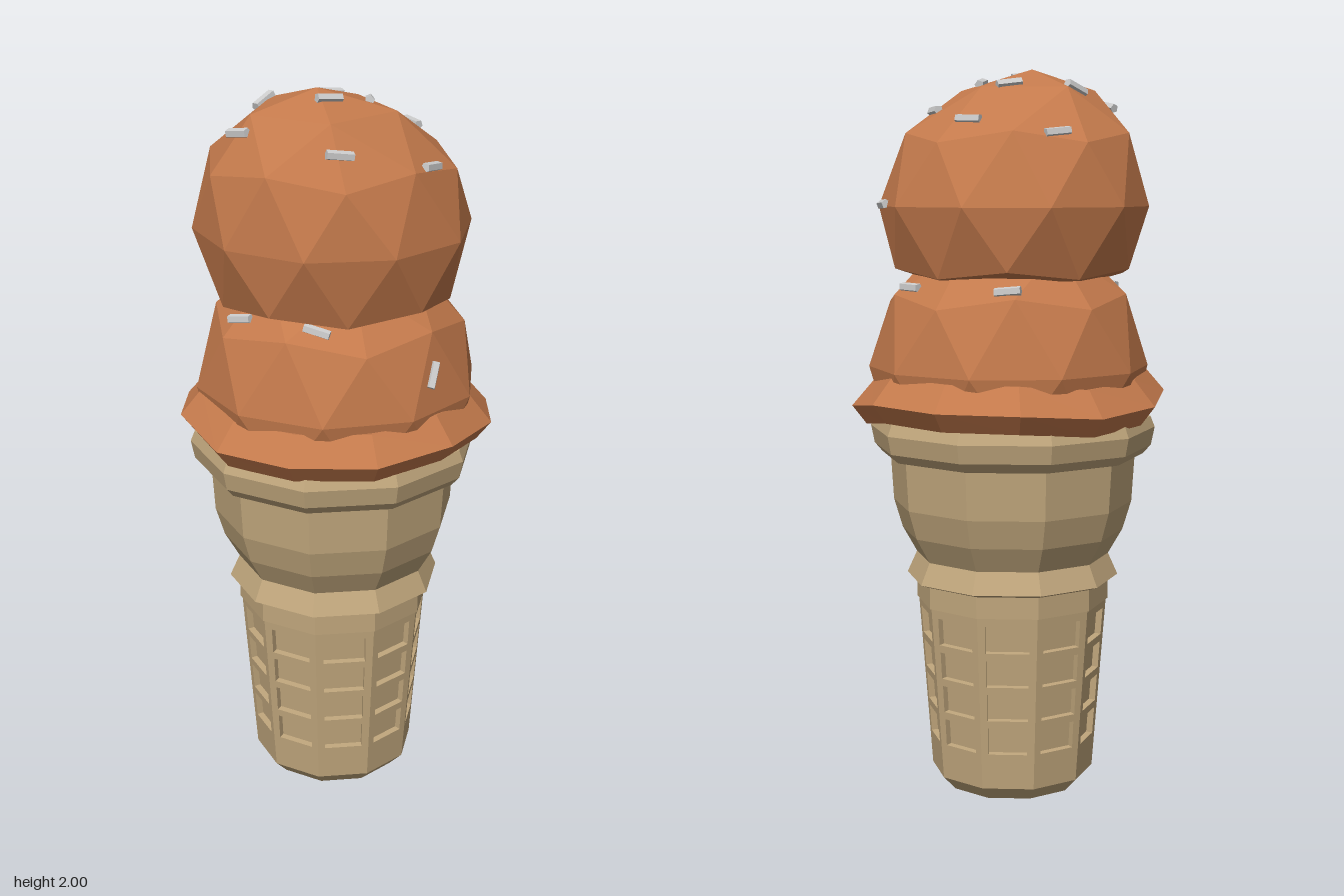
import * as THREE from 'three';

const SIDES = 10, STEP = Math.PI * 2 / SIDES, HALF = STEP / 2;
const mat = color => new THREE.MeshStandardMaterial({ color, flatShading: true });
const iceCream = mat(0xc47a4c), wafer = mat(0xc0a67c), candy = mat(0xcccccc);

function add(parent, name, geometry, material) {
  const mesh = new THREE.Mesh(geometry, material);
  mesh.name = name;
  parent.add(mesh);
  return mesh;
}

// Move every vertex of a geometry by a rule
function reshape(geometry, rule) {
  const p = geometry.attributes.position, v = new THREE.Vector3();
  for (let i = 0; i < p.count; i++) {
    rule(v.fromBufferAttribute(p, i));
    p.setXYZ(i, v.x, v.y, v.z);
  }
  geometry.computeVertexNormals();
  return geometry;
}

const lathe = (points, sides, start) =>
  new THREE.LatheGeometry(points.map(p => new THREE.Vector2(...p)), sides, start);

// One sloping side of the cone's lower half, with four square openings
function wafflePanel() {
  const y0 = 0.04, y1 = 0.53, r0 = 0.228, r1 = 0.265, depth = 0.018;
  const rise = y1 - y0, run = (r1 - r0) * Math.cos(HALF);
  const len = Math.hypot(rise, run), w0 = r0 * Math.sin(HALF), w1 = r1 * Math.sin(HALF);
  const shape = new THREE.Shape([[-w0, 0], [w0, 0], [w1, len], [-w1, len]].map(p => new THREE.Vector2(...p)));
  for (let row = 0; row < 4; row++) {
    const b = 0.1 + row * 0.097, t = b + 0.076, h = 0.053 + row * 0.002;
    shape.holes.push(new THREE.Path([[-h, b], [-h, t], [h, t], [h, b]].map(p => new THREE.Vector2(...p))));
  }
  return new THREE.ExtrudeGeometry(shape, { depth, bevelEnabled: false })
    .translate(0, 0, -depth)
    .rotateX(Math.atan2(run, rise))
    .translate(0, y0, r0 * Math.cos(HALF));
}

function buildCone() {
  const cone = new THREE.Group();
  cone.name = 'cone';
  cone.position.set(-0.004, 0, 0.01);
  // Base, recessed core, band, flared cup and rim
  add(cone, 'coneBody', lathe([
    [0, 0], [0.19, 0], [0.228, 0.04], [0.209, 0.04], [0.246, 0.53], [0.27, 0.53], [0.27, 0.59],
    [0.297, 0.6], [0.27, 0.66], [0.31, 0.73], [0.334, 0.81], [0.342, 0.94], [0.365, 0.945],
    [0.387, 0.97], [0.397, 1.02], [0.385, 1.05], [0, 1.05],
  ], SIDES, HALF), wafer);
  const panel = wafflePanel();
  for (let i = 0; i < SIDES; i++) add(cone, 'wafflePanel', panel, wafer).rotation.y = i * STEP;
  return cone;
}

// Faceted ball with a vertex at the pole, a leaning crown and a flattened base
function scoopGeometry(radius, lean) {
  const ball = new THREE.IcosahedronGeometry(1, 1)
    .rotateX(-Math.atan2(0.851, 0.526))
    .rotateY(Math.PI);
  return reshape(ball, v => {
    if (v.y > 0) v.z += lean * v.y * v.y;
    if (v.y < -0.5) v.y = -0.5 + (v.y + 0.5) * 0.2;
    v.multiplyScalar(radius);
  });
}

// Lay a sprinkle where a ray meets the scoop, along the given heading
function addSprinkle(parent, scoop, origin, direction, heading) {
  const hit = new THREE.Raycaster(origin, direction.normalize()).intersectObject(scoop)[0];
  if (!hit) return;
  const n = hit.face.normal.clone().transformDirection(scoop.matrixWorld);
  const along = heading.projectOnPlane(n).normalize();
  const side = new THREE.Vector3().crossVectors(along, n);
  const mesh = add(parent, 'sprinkle', new THREE.CylinderGeometry(0.013, 0.013, 0.07, 5), candy);
  mesh.quaternion.setFromRotationMatrix(new THREE.Matrix4().makeBasis(side, along, n));
  mesh.position.copy(hit.point).addScaledVector(n, 0.004);
}

export function createModel() {
  const model = new THREE.Group();
  model.name = 'iceCreamCone';
  model.add(buildCone());

  // Wavy skirt of ice cream resting on the rim
  const skirt = lathe([[0.3, 1.055], [0.395, 1.048], [0.435, 1.1], [0.375, 1.17], [0.28, 1.17]],
    12, THREE.MathUtils.degToRad(13));
  add(model, 'meltedSkirt', reshape(skirt, v => {
    const a = Math.atan2(v.z, v.x);
    v.y += 0.012 * Math.sin(3 * a + 0.6) + 0.008 * Math.cos(5 * a);
  }), iceCream);

  // Two stacked scoops
  const lower = add(model, 'lowerScoop', scoopGeometry(0.387, 0), iceCream);
  lower.position.set(0, 1.19, 0);
  lower.rotation.y = 0.1;
  const upper = add(model, 'upperScoop', scoopGeometry(0.372, 0.22), iceCream);
  upper.position.set(0, 1.628, 0.02);
  model.updateMatrixWorld(true);

  // Sprinkles on the upper scoop: x, z, heading x, heading z
  const sprinkles = new THREE.Group();
  sprinkles.name = 'sprinkles';
  model.add(sprinkles);
  for (const [x, z, hx, hz] of [
    [-0.04, -0.215, 1, -0.2], [0.235, -0.245, 1, 0.5], [-0.255, -0.115, 0.4, -1], [0.15, -0.13, 1, 0.6],
    [-0.05, -0.06, 0.55, -1], [0.095, 0, 0.5, 1], [-0.18, 0.06, 0.4, -1], [0.3, 0.055, 0.2, -1],
    [0.05, 0.13, 0.7, -1], [-0.135, 0.26, 1, 0], [0.155, 0.265, 1, -0.7],
  ]) {
    addSprinkle(sprinkles, upper, new THREE.Vector3(x, 3, z), new THREE.Vector3(0, -1, 0), new THREE.Vector3(hx, 0, hz));
  }
  // Sprinkles on the lower scoop: x, y, z on its outside, then heading
  for (const [x, y, z, hx, hy, hz] of [
    [-0.15, 1.43, 0.29, 1, 0.1, 0], [0.1, 1.43, 0.29, 1, 0, 0], [0.35, 1.29, 0.1, 0, 1, -0.6],
    [0.12, 1.43, -0.3, 1, 0, 0.2], [-0.2, 1.42, -0.25, 1, 0, -0.6],
  ]) {
    const out = new THREE.Vector3(x, y, z).sub(lower.position);
    const origin = lower.position.clone().addScaledVector(out, 3);
    addSprinkle(sprinkles, lower, origin, out.negate(), new THREE.Vector3(hx, hy, hz));
  }
  return model;
}
